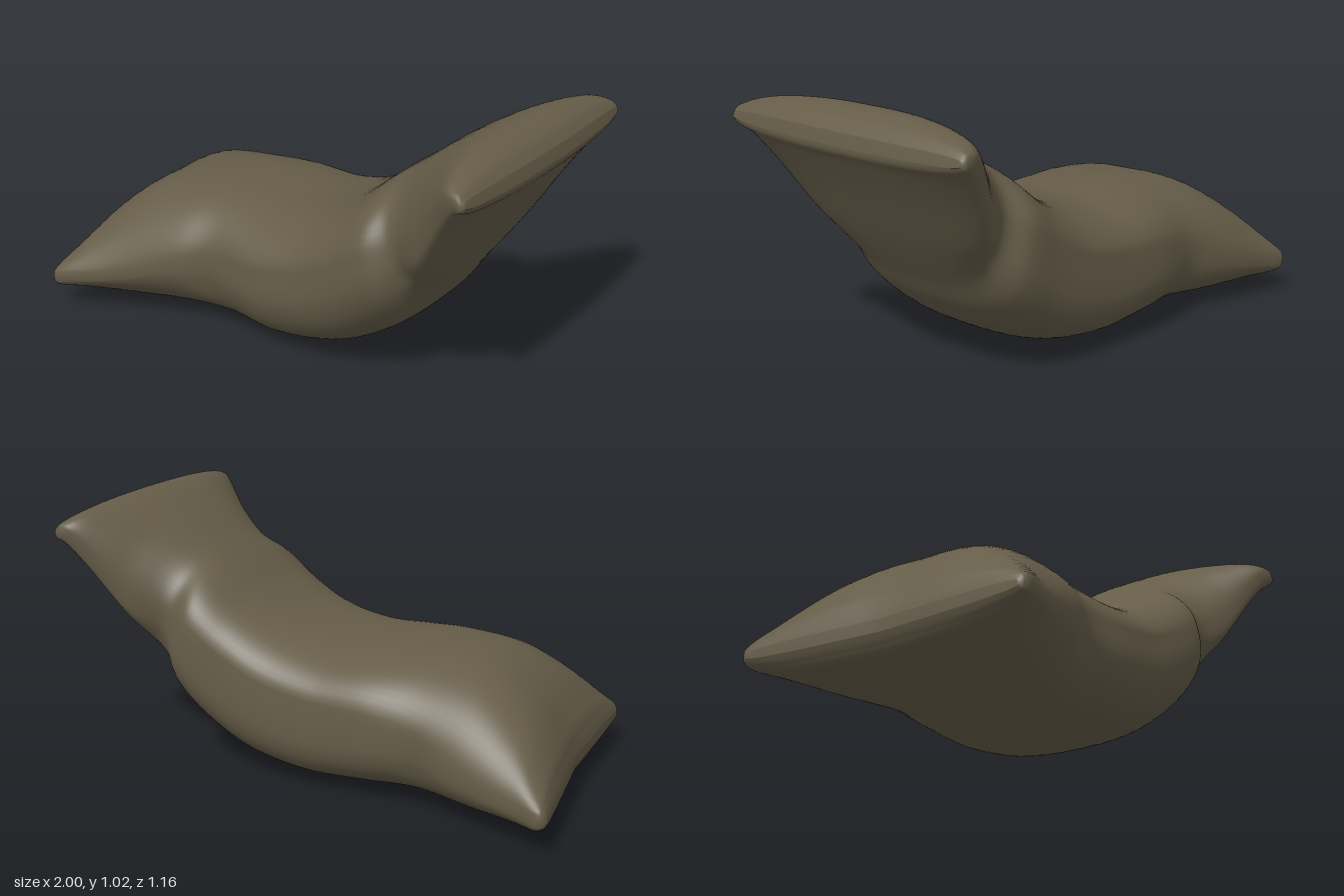
import * as THREE from 'three';

// Cross-sections along the bag:
// top x, top y, bottom x, bottom y, seam height (0..1), front width, back width, sharpness
const SECTIONS = [
  [-0.928, 0.155, -0.928, 0.11, 0.5, 0.555, 0.555, 0.7],
  [-0.918, 0.2, -0.91, 0.075, 0.5, 0.572, 0.572, 0.9],
  [-0.89, 0.275, -0.875, 0.042, 0.43, 0.577, 0.577, 1.1],
  [-0.79, 0.415, -0.77, 0.022, 0.36, 0.545, 0.55, 1.3],
  [-0.63, 0.515, -0.60, 0.01, 0.38, 0.49, 0.515, 1.25],
  [-0.42, 0.545, -0.38, 0.015, 0.48, 0.43, 0.468, 1.05],
  [-0.25, 0.545, -0.20, 0.01, 0.53, 0.385, 0.475, 0.85],
  [-0.05, 0.535, 0.02, 0.005, 0.55, 0.41, 0.47, 0.77],
  [0.14, 0.575, 0.25, 0.045, 0.55, 0.415, 0.465, 0.77],
  [0.30, 0.655, 0.42, 0.125, 0.55, 0.425, 0.46, 0.77],
  [0.44, 0.765, 0.57, 0.245, 0.52, 0.43, 0.455, 0.82],
  [0.54, 0.84, 0.66, 0.37, 0.42, 0.392, 0.41, 1.0],
  [0.66, 0.93, 0.77, 0.53, 0.32, 0.45, 0.47, 1.1],
  [0.78, 1.0, 0.88, 0.71, 0.34, 0.51, 0.53, 1.05],
  [0.87, 1.02, 0.965, 0.84, 0.38, 0.558, 0.57, 0.95],
  [0.945, 0.995, 0.995, 0.88, 0.4, 0.572, 0.577, 0.8],
  [0.99, 0.95, 1.0, 0.905, 0.5, 0.56, 0.565, 0.7],
];

// Smooth interpolation of one section column
function sample(t, col) {
  const n = SECTIONS.length - 1;
  const f = Math.min(t * n, n - 1e-6), i = Math.floor(f), u = f - i;
  const v = (k) => SECTIONS[Math.min(n, Math.max(0, k))][col];
  const a = v(i - 1), b = v(i), c = v(i + 1), d = v(i + 2);
  return b + 0.5 * u * (c - a + u * (2 * a - 5 * b + 4 * c - d + u * (3 * (b - c) + d - a)));
}

const bump = (x, centre, size) => Math.exp(-(((x - centre) / size) ** 2));

function bagGeometry(rings = 128, sides = 64) {
  const pos = [], index = [];
  for (let i = 0; i <= rings; i++) {
    const [tx, ty, bx, by, seam, wf, wb, q] = [0, 1, 2, 3, 4, 5, 6, 7].map((c) => sample(i / rings, c));
    const sx = bx + (tx - bx) * seam, sy = by + (ty - by) * seam;
    const mid = (tx + bx) / 2;
    // The low end is pulled out at its back corner, the high end bows slightly
    const skew = 0.125 * THREE.MathUtils.smoothstep(-mid, 0, 0.5);
    const bow = 0.07 * THREE.MathUtils.smoothstep(mid, 0.6, 0.9);
    const belly = 1 - THREE.MathUtils.smoothstep(mid, 0.4, 0.75);
    for (let j = 0; j < sides; j++) {
      const a = (j / sides) * Math.PI * 2, c = Math.cos(a), s = Math.sin(a), m = Math.abs(s);
      const up = s > 0;
      const half = Math.hypot((up ? tx : bx) - sx, (up ? ty : by) - sy);
      // Pillow profile with a rounded rim: slacker in front, fuller low at the back
      const slack = c > 0 ? 0.27 : up ? 0 : -0.17;
      const rim = Math.min(0.045 / half, 0.85);
      const h = (1 - rim) * m ** (q * (1 + slack * belly)) + rim * m ** 0.42;
      let z = Math.sign(c) * Math.abs(c) ** 0.72 * (c > 0 ? wf : wb);
      // Sunken seam along the sides and tucks where the cloth folds
      const side = c * c;
      const body = bump(mid, 0.12, 0.4);
      const tuck = bump(mid, 0.61, 0.04) + 0.6 * bump(mid, c > 0 ? -0.27 : -0.42, 0.06);
      z *= 1 - side * (0.02 * body * bump(s, 0.1, 0.1) + 0.05 * tuck * bump(s, -0.3, 0.3));
      const x = sx + ((up ? tx : bx) - sx) * h + skew * Math.min(z, 0) - bow * z * z;
      pos.push(x, sy + ((up ? ty : by) - sy) * h, z);
    }
  }
  for (let i = 0; i < rings; i++) {
    for (let j = 0; j < sides; j++) {
      const k = (j + 1) % sides;
      const a = i * sides + j, b = a + sides, c = i * sides + k, d = c + sides;
      index.push(a, b, c, b, d, c);
    }
  }
  // Narrow end faces, zipped across from front to back
  const last = rings * sides;
  for (let j = 0; j < sides / 2; j++) {
    const a = j, b = j + 1, c = (sides - j) % sides, d = sides - j - 1;
    if (a !== c) {
      index.push(a, b, c);
      index.push(last + a, last + c, last + b);
    }
    if (b !== d) {
      index.push(b, d, c);
      index.push(last + b, last + c, last + d);
    }
  }
  const geo = new THREE.BufferGeometry();
  geo.setAttribute('position', new THREE.Float32BufferAttribute(pos, 3));
  geo.setIndex(index);
  geo.computeVertexNormals();
  return geo;
}

export function createModel() {
  const group = new THREE.Group();
  group.name = 'sandbag';
  const cloth = new THREE.MeshStandardMaterial({ color: 0x655c48 });
  cloth.name = 'olive cloth';
  const bag = new THREE.Mesh(bagGeometry(), cloth);
  bag.name = 'bag';
  group.add(bag);
  return group;
}
